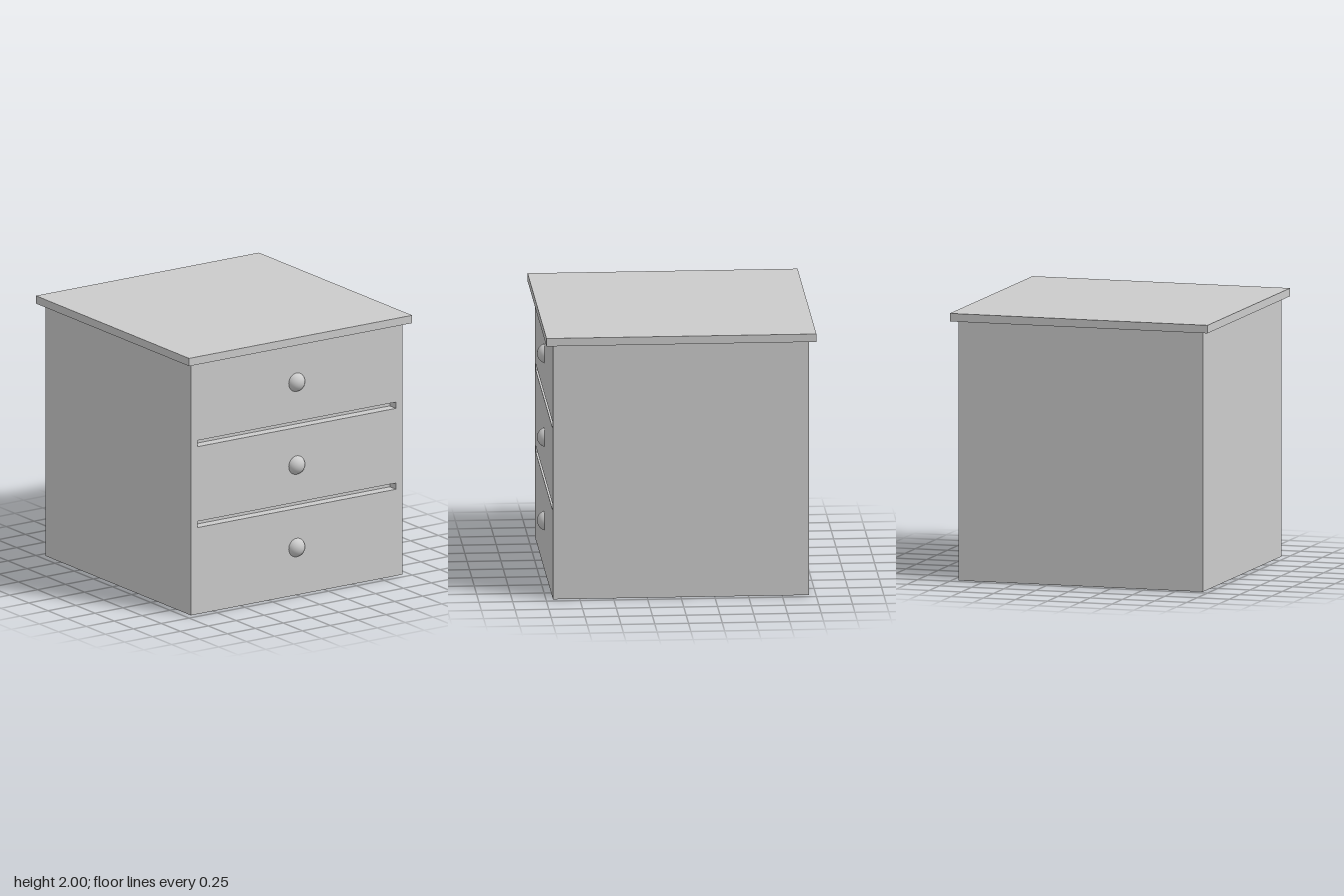
import * as THREE from 'three';

export function createModel() {
  const group = new THREE.Group();
  const material = new THREE.MeshStandardMaterial({ color: 0xcccccc });
  const add = (name, geometry, x, y, z) => {
    const mesh = new THREE.Mesh(geometry, material);
    mesh.name = name;
    mesh.position.set(x, y, z);
    group.add(mesh);
  };

  const half = 0.948, height = 1.94, slotDepth = 0.08;

  // Rectangle outline, usable as a shape or a hole
  const rect = (path, w, y0, y1) => {
    path.moveTo(-w, y0);
    path.lineTo(w, y0);
    path.lineTo(w, y1);
    path.lineTo(-w, y1);
    path.closePath();
    return path;
  };

  // Cabinet behind the drawer fronts
  const bodyDepth = 2 * half - slotDepth;
  add('cabinetBody', new THREE.BoxGeometry(2 * half, height, bodyDepth), 0, height / 2, -slotDepth / 2);

  // Front panel with the gaps between drawers cut through
  const front = rect(new THREE.Shape(), half, 0, height);
  for (const y of [0.69, 1.313]) front.holes.push(rect(new THREE.Path(), 0.89, y - 0.024, y + 0.024));
  add('drawerFront', new THREE.ExtrudeGeometry(front, { depth: slotDepth, bevelEnabled: false }), 0, 0, half - slotDepth);

  // Overhanging top
  add('topBoard', new THREE.BoxGeometry(2, 2 - height, 2), 0, (2 + height) / 2, 0);

  // Round knobs sunk partly into the front
  const knob = new THREE.SphereGeometry(0.075, 32, 24);
  [0.365, 1.0, 1.638].forEach((y, i) => add(`drawerKnob${i + 1}`, knob, 0, y, 0.925));

  return group;
}
